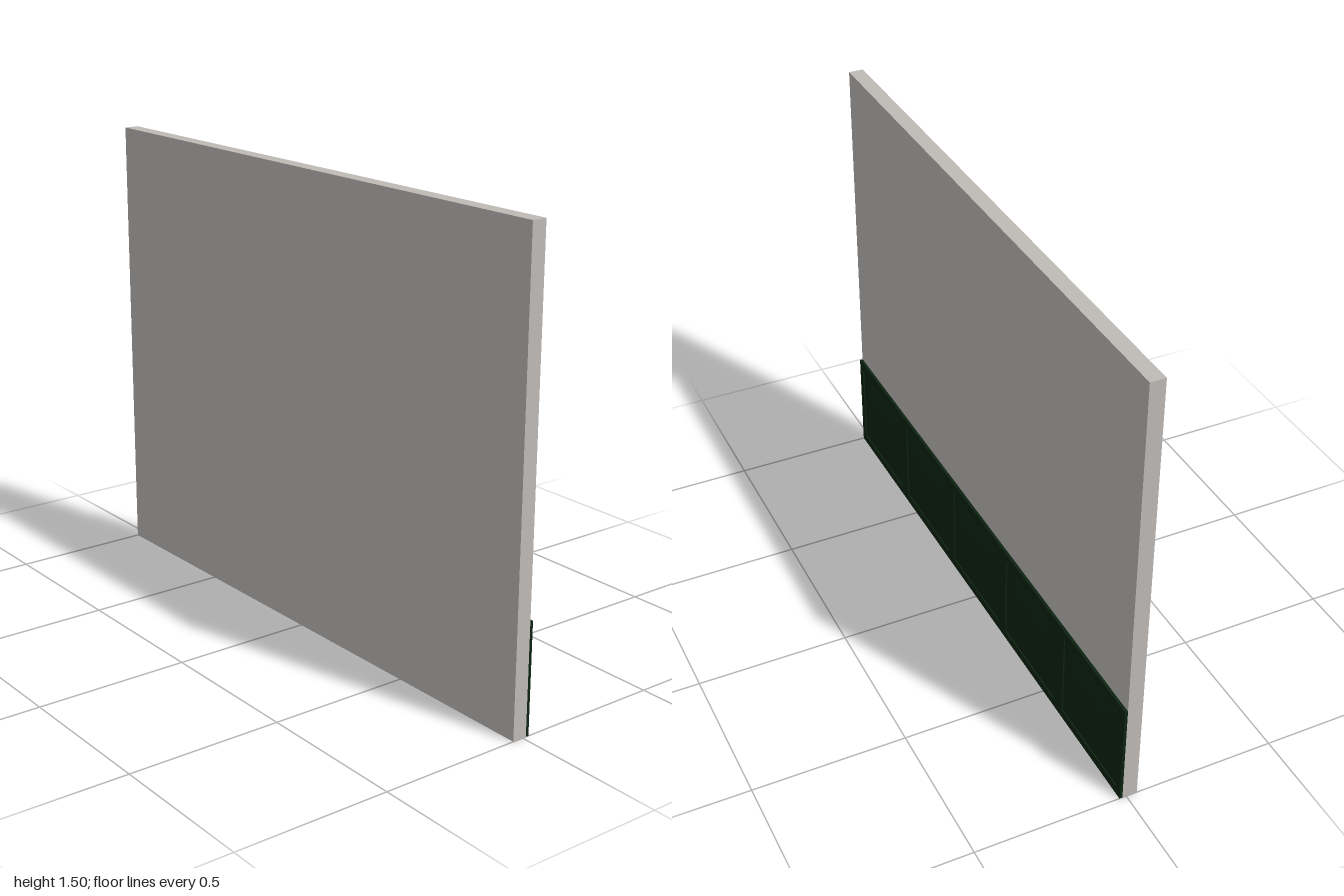
import * as THREE from 'three';

const WALL_X = 0.013, FRAME_X = 0.023;
const PANELS = 5, PITCH = 2 / PANELS, TOP = 0.357;
const HALF_W = 0.175, HALF_H = 0.15, MID_Y = TOP / 2;

// Raised field: nested rectangles [inset, x] rising to a flat centre
function raisedPanel() {
  const rings = [[0, 0.018], [0.025, 0.023], [0.05, 0.029], [0.075, 0.034]];
  const pos = [];
  const corners = ([inset, x]) => {
    const w = HALF_W - inset, h = HALF_H - inset;
    return [[x, -h, w], [x, -h, -w], [x, h, -w], [x, h, w]];
  };
  const quad = (a, b, c, d) => pos.push(...a, ...b, ...c, ...a, ...c, ...d);
  for (let r = 0; r < rings.length - 1; r++) {
    const o = corners(rings[r]), n = corners(rings[r + 1]);
    for (let i = 0; i < 4; i++) {
      const j = (i + 1) % 4;
      quad(o[i], o[j], n[j], n[i]);
    }
  }
  quad(...corners(rings[rings.length - 1]));
  const geo = new THREE.BufferGeometry();
  geo.setAttribute('position', new THREE.Float32BufferAttribute(pos, 3));
  geo.computeVertexNormals();
  return geo;
}

function rectangle(path, u0, v0, u1, v1) {
  path.moveTo(u0, v0);
  path.lineTo(u1, v0);
  path.lineTo(u1, v1);
  path.lineTo(u0, v1);
  path.closePath();
  return path;
}

export function createModel() {
  const group = new THREE.Group();
  group.name = 'panelledWall';
  const plaster = new THREE.MeshStandardMaterial({ color: 0xbebab6 });
  plaster.name = 'warm grey plaster';
  const green = new THREE.MeshStandardMaterial({ color: 0x0c2210 });
  green.name = 'dark green paint';

  const add = (geometry, material, name) => {
    const mesh = new THREE.Mesh(geometry, material);
    mesh.name = name;
    group.add(mesh);
    return mesh;
  };

  // Wall slab
  const wall = add(new THREE.BoxGeometry(0.049, 1.5, 2), plaster, 'wall');
  wall.position.set(WALL_X - 0.0245, 0.75, 0);

  // Wainscot rails and stiles, with one opening per panel
  const shape = rectangle(new THREE.Shape(), -1, 0, 1, TOP);
  const centres = Array.from({ length: PANELS }, (_, i) => -1 + PITCH * (i + 0.5));
  for (const c of centres) {
    shape.holes.push(rectangle(new THREE.Path(), c - HALF_W, MID_Y - HALF_H, c + HALF_W, MID_Y + HALF_H));
  }
  const frameGeo = new THREE.ExtrudeGeometry(shape, { depth: FRAME_X - WALL_X, bevelEnabled: false });
  frameGeo.rotateY(Math.PI / 2);
  add(frameGeo, green, 'wainscotFrame').position.x = WALL_X;

  // Raised panels
  const panelGeo = raisedPanel();
  centres.forEach((c, i) => {
    add(panelGeo, green, `raisedPanel${i + 1}`).position.set(0, MID_Y, c);
  });

  return group;
}
